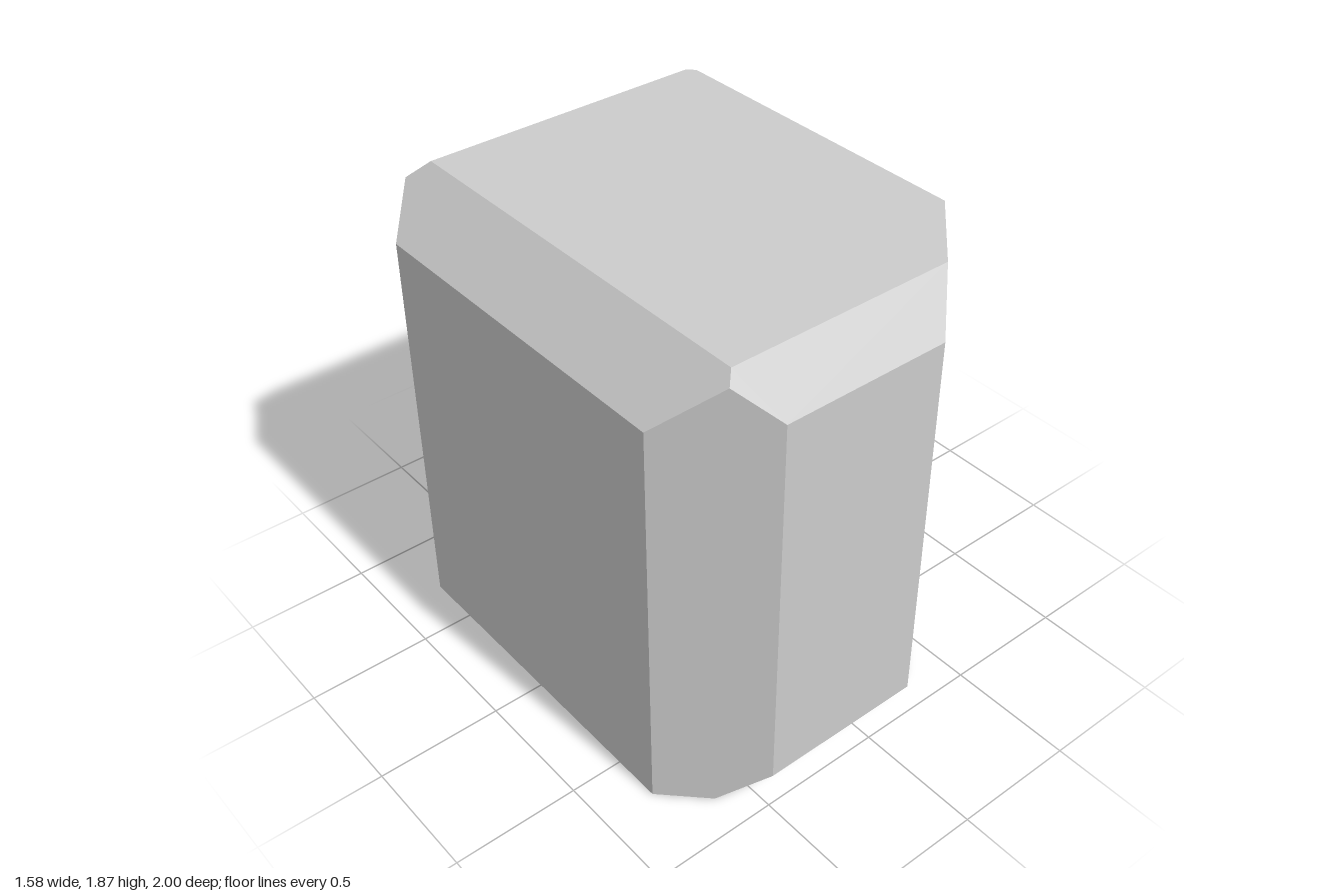
import * as THREE from 'three';

const W = 0.79, H = 1.87, D = 1; // half width, height, half depth

// A plane is a unit normal n with n.p <= d inside the solid
function plane(x, y, z, point) {
  const n = new THREE.Vector3(x, y, z).normalize();
  return { n, d: n.dot(new THREE.Vector3(...point)) };
}

// 45 degree bevel on the edge between two box sides, cut back by size
function bevel(x, y, z, size) {
  const corner = [x * W, y > 0 ? H : 0, z * D];
  const p = plane(x, y, z, corner);
  p.d -= size / Math.SQRT2;
  return p;
}

// Corner where three planes meet, or null if they have no single point
function meet(a, b, c) {
  const bc = b.n.clone().cross(c.n);
  const det = a.n.dot(bc);
  if (Math.abs(det) < 1e-6) return null;
  return bc.multiplyScalar(a.d)
    .addScaledVector(c.n.clone().cross(a.n), b.d)
    .addScaledVector(a.n.clone().cross(b.n), c.d)
    .divideScalar(det);
}

// Flat-faced convex solid bounded by planes
function solidFromPlanes(planes) {
  const corners = [];
  planes.forEach((a, i) => planes.slice(i + 1).forEach((b, j) => planes.slice(i + j + 2).forEach((c) => {
    const p = meet(a, b, c);
    if (!p || planes.some((q) => q.n.dot(p) > q.d + 1e-5)) return;
    if (!corners.some((q) => q.distanceTo(p) < 1e-4)) corners.push(p);
  })));

  const positions = [], normals = [];
  for (const { n, d } of planes) {
    const ring = corners.filter((p) => Math.abs(n.dot(p) - d) < 1e-4);
    if (ring.length < 3) continue;
    // Order the corners anticlockwise about the face centre
    const mid = ring.reduce((s, p) => s.add(p), new THREE.Vector3()).divideScalar(ring.length);
    const u = ring[0].clone().sub(mid).normalize();
    const v = n.clone().cross(u);
    const angle = (p) => Math.atan2(p.clone().sub(mid).dot(v), p.clone().sub(mid).dot(u));
    ring.sort((p, q) => angle(p) - angle(q));
    for (let i = 1; i < ring.length - 1; i++) {
      for (const p of [ring[0], ring[i], ring[i + 1]]) {
        positions.push(p.x, p.y, p.z);
        normals.push(n.x, n.y, n.z);
      }
    }
  }
  const geometry = new THREE.BufferGeometry();
  geometry.setAttribute('position', new THREE.Float32BufferAttribute(positions, 3));
  geometry.setAttribute('normal', new THREE.Float32BufferAttribute(normals, 3));
  return geometry;
}

export function createModel() {
  const group = new THREE.Group();
  group.name = 'bevelledBlock';

  const planes = [
    // Six box sides
    plane(1, 0, 0, [W, 0, 0]), plane(-1, 0, 0, [-W, 0, 0]),
    plane(0, 1, 0, [0, H, 0]), plane(0, -1, 0, [0, 0, 0]),
    plane(0, 0, 1, [0, 0, D]), plane(0, 0, -1, [0, 0, -D]),
    // Upright edges
    bevel(1, 0, 1, 0.6), bevel(-1, 0, 1, 0.305),
    bevel(1, 0, -1, 0.39), bevel(-1, 0, -1, 0.28),
    // Top edges
    bevel(0, 1, 1, 0.16), bevel(0, 1, -1, 0.2),
    bevel(1, 1, 0, 0.16), bevel(-1, 1, 0, 0.22),
    // Bottom edges; the back and right ones stay sharp
    bevel(0, -1, 1, 0.145), bevel(1, -1, 0, 0.33),
  ];

  const block = new THREE.Mesh(
    solidFromPlanes(planes),
    new THREE.MeshStandardMaterial({ color: 0xcccccc, flatShading: true }),
  );
  block.name = 'block';
  group.add(block);
  return group;
}
